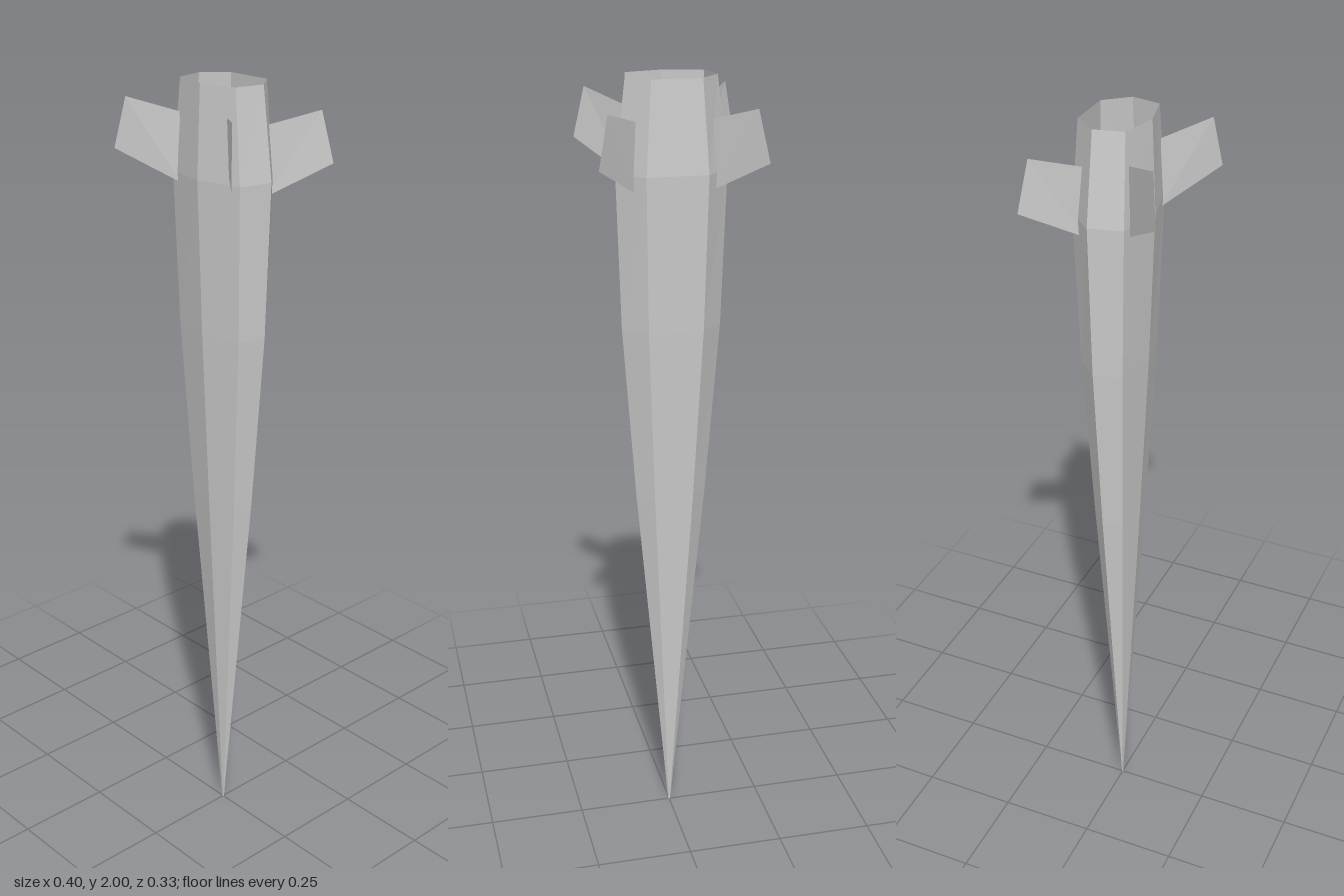
import * as THREE from 'three';

// Seven-sided hull section at its widest, as [x, z]
const SECTION = [
  [0, 0.081], [0.117, 0.055], [0.136, -0.027], [0.075, -0.092],
  [-0.075, -0.092], [-0.136, -0.027], [-0.117, 0.055],
];
// Height, width scale and depth scale of each ring, tip to open end
const RINGS = [
  [0, 0.02, 0.02],
  [0.95, 0.66, 0.6],
  [1.4, 0.91, 0.85],
  [1.78, 1, 1],
  [2, 0.81, 0.88],
];

const material = new THREE.MeshStandardMaterial({
  color: 0xcccccc, flatShading: true, side: THREE.DoubleSide,
});

function createMesh(name, positions, indices) {
  const geometry = new THREE.BufferGeometry();
  geometry.setAttribute('position', new THREE.Float32BufferAttribute(positions, 3));
  geometry.setIndex(indices);
  const flat = geometry.toNonIndexed();
  flat.computeVertexNormals();
  const mesh = new THREE.Mesh(flat, material);
  mesh.name = name;
  return mesh;
}

// Open faceted shell lofted through the rings
function createHull() {
  const positions = [], indices = [], n = SECTION.length;
  for (const [y, sx, sz] of RINGS) {
    for (const [x, z] of SECTION) positions.push(x * sx, y, z * sz);
  }
  for (let r = 0; r < RINGS.length - 1; r++) {
    for (let i = 0; i < n; i++) {
      const a = r * n + i, b = r * n + (i + 1) % n;
      indices.push(a, b, b + n, a, b + n, a + n);
    }
  }
  return createMesh('hull', positions, indices);
}

// Thin upright fin pointing diagonally outward
function createFin(name, sideX, sideZ, drop) {
  const outline = [
    [0.09, 1.755, 0.055], [0.2, 1.835, 0.165],
    [0.175, 1.957, 0.148], [0.09, 1.922, 0.055],
  ];
  const positions = outline.flatMap(([x, y, z]) => [x * sideX, y - drop, z * sideZ]);
  return createMesh(name, positions, [0, 1, 2, 0, 2, 3]);
}

export function createModel() {
  const model = new THREE.Group();
  model.name = 'finnedDart';
  model.add(createHull());
  for (const [side, sx] of [['Left', 1], ['Right', -1]]) {
    model.add(createFin('front' + side + 'Fin', sx, 1, 0));
    model.add(createFin('back' + side + 'Fin', sx, -1, 0.02));
  }
  return model;
}
